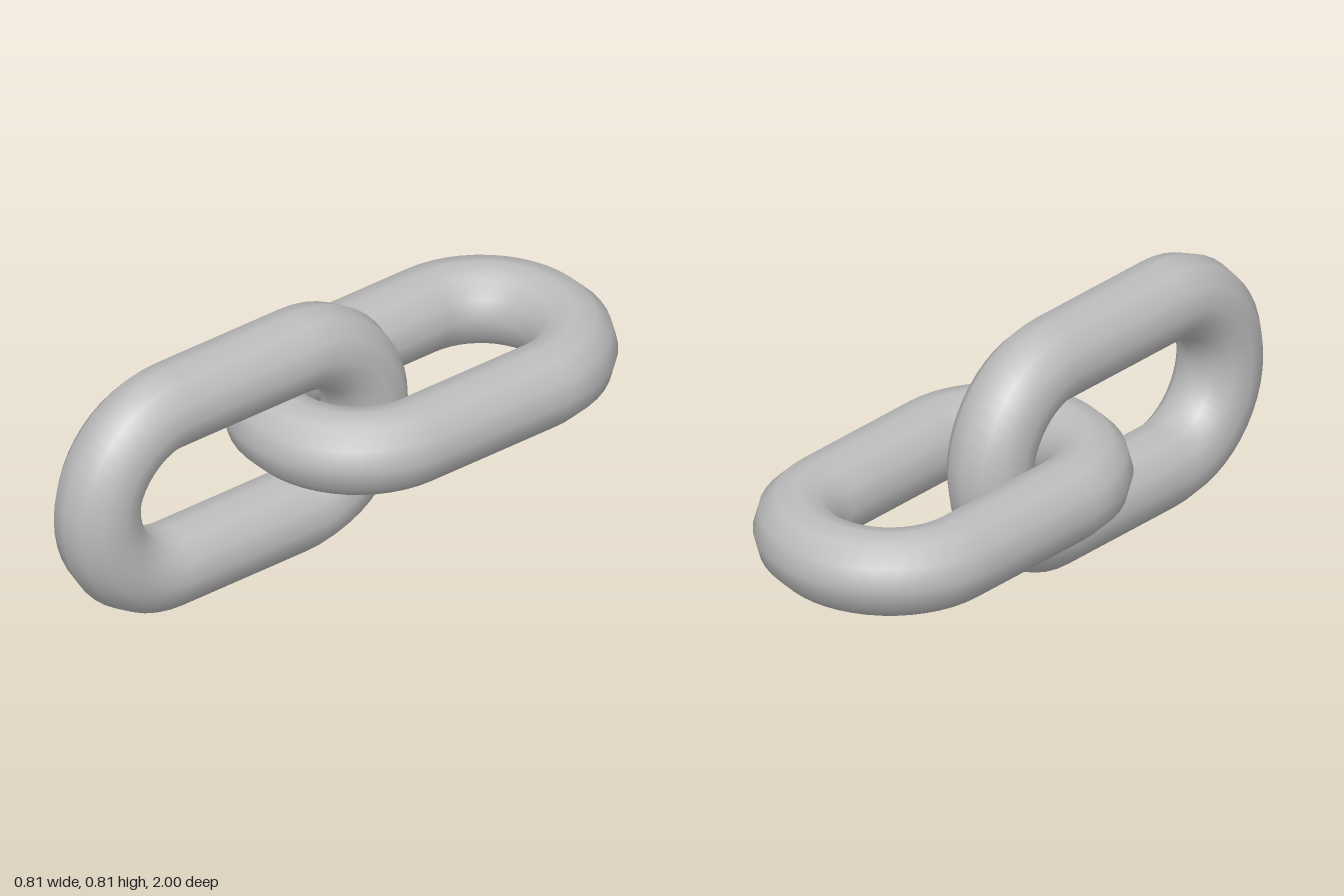
import * as THREE from 'three';
import { mergeGeometries } from 'three/addons/utils/BufferGeometryUtils.js';

const BEND = 0.274;      // bend radius of the bar's centre line
const BAR = 0.13;        // bar thickness radius
const HALF = 0.236;      // half length of the straight bars
const SIDES = 12;

// Stadium-shaped link lying flat, long along z: two half rings and two straight bars
function linkGeometry() {
  const parts = [];
  for (const s of [1, -1]) {
    const end = new THREE.TorusGeometry(BEND, BAR, SIDES, 24, Math.PI);
    if (s < 0) end.rotateZ(Math.PI);
    end.translate(0, s * HALF, 0);
    const bar = new THREE.CylinderGeometry(BAR, BAR, HALF * 2, SIDES, 1, true);
    bar.translate(s * BEND, 0, 0);
    parts.push(end, bar);
  }
  return mergeGeometries(parts).rotateX(Math.PI / 2);
}

export function createModel() {
  const group = new THREE.Group();
  group.name = 'chainLinks';
  const steel = new THREE.MeshStandardMaterial({ color: 0xbcbcbc });
  steel.name = 'steel grey';

  const geometry = linkGeometry();

  // Upright link at the front, flat link at the back, hooked through each other
  const uprightLink = new THREE.Mesh(geometry, steel);
  uprightLink.name = 'uprightLink';
  uprightLink.rotation.z = Math.PI / 2;
  uprightLink.position.set(0, BEND + BAR, 0.36);

  const flatLink = new THREE.Mesh(geometry, steel);
  flatLink.name = 'flatLink';
  flatLink.position.set(0, BEND + BAR, -0.36);

  group.add(uprightLink, flatLink);
  return group;
}
